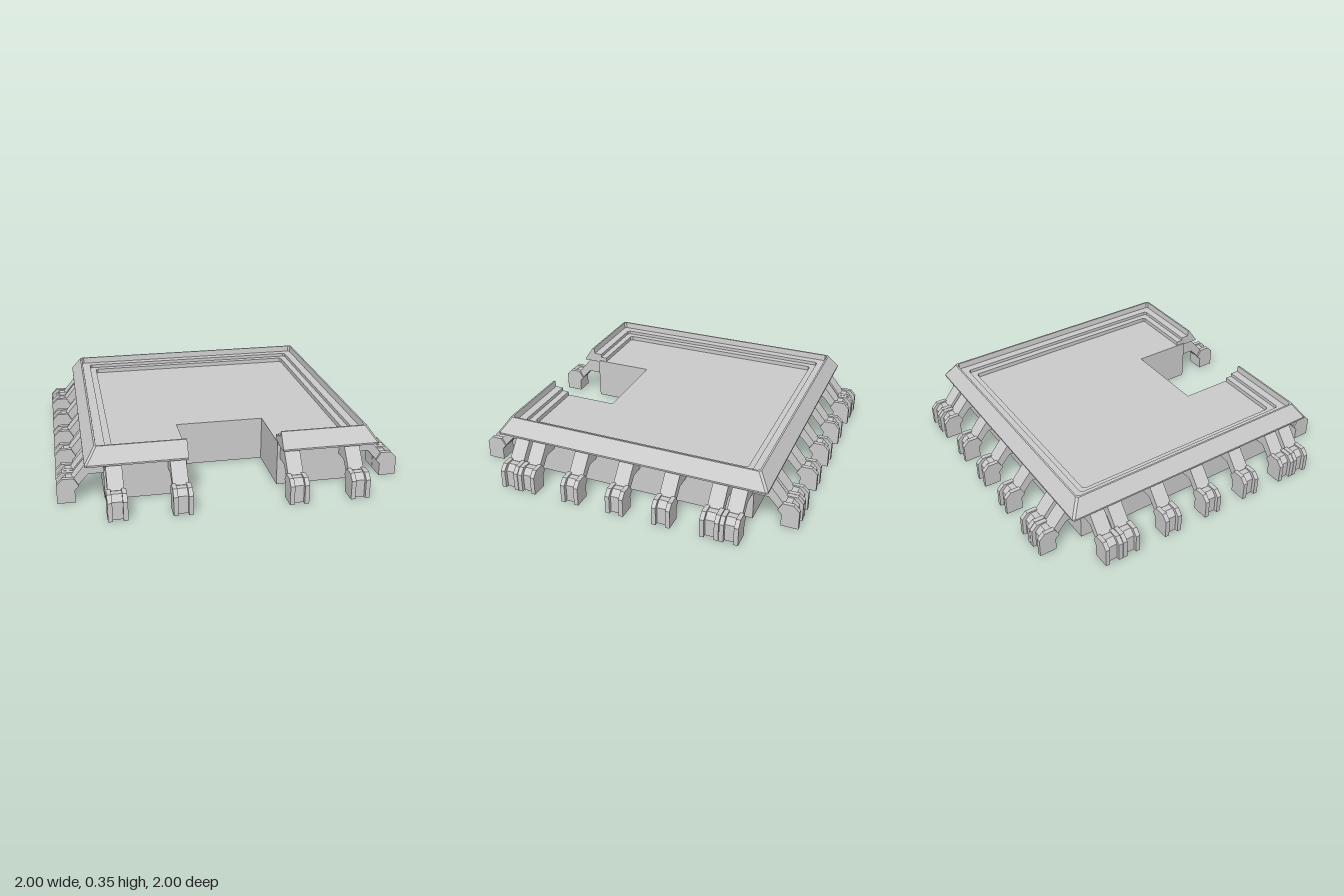
import * as THREE from 'three';

const material = new THREE.MeshStandardMaterial({ color: 0xcccccc, flatShading: true });

const HALF = 0.735;      // outer wall half-width
const NOTCH_X = 0.265;   // half-width of the front bay
const NOTCH_Z = 0.365;   // rear edge of the front bay
const DECK_Y = 0.267;

function part(name, geometry) {
  const mesh = new THREE.Mesh(geometry, material);
  mesh.name = name;
  return mesh;
}

// U-shaped plan outline, pulled inwards by t; shape y becomes -z
function planOutline(t) {
  const h = HALF - t, nx = NOTCH_X + t, nz = NOTCH_Z - t;
  return [[nx, h], [h, h], [h, -h], [-h, -h], [-h, h], [-nx, h], [-nx, nz], [nx, nz]]
    .map(([x, z]) => new THREE.Vector2(x, -z));
}

function slab(shape, y, height) {
  const g = new THREE.ExtrudeGeometry(shape, { depth: height, bevelEnabled: false });
  return g.rotateX(-Math.PI / 2).translate(0, y, 0);
}

// Stepped rim: one closed profile swept round three sides and both front arms
function rimGeometry() {
  const profile = [
    [0.68, 0.256], [0.842, 0.256], [0.842, 0.266], [0.782, 0.353], [0.772, 0.353],
    [0.768, 0.315], [0.718, 0.315], [0.718, 0.294], [0.678, 0.294], [0.678, 0.262],
  ];
  const c = 0.012, end = 0.27; // corner chamfer, end of each arm
  const stations = [
    (r) => [end, r], (r) => [r - c, r], (r) => [r, r - c],
    (r) => [r, -r + c], (r) => [r - c, -r], (r) => [-r + c, -r], (r) => [-r, -r + c],
    (r) => [-r, r - c], (r) => [-r + c, r], (r) => [-end, r],
  ];
  const n = profile.length, positions = [], index = [];
  for (const at of stations) {
    for (const [r, y] of profile) {
      const [x, z] = at(r);
      positions.push(x, y, z);
    }
  }
  for (let i = 0; i < stations.length - 1; i++) {
    for (let j = 0; j < n; j++) {
      const k = (j + 1) % n;
      const a = i * n + j, b = (i + 1) * n + j, d = (i + 1) * n + k, e = i * n + k;
      index.push(a, b, d, a, d, e);
    }
  }
  // End caps facing the bay
  const last = (stations.length - 1) * n;
  const contour = profile.map(([r, y]) => new THREE.Vector2(r, y));
  for (const [a, b, d] of THREE.ShapeUtils.triangulateShape(contour, [])) {
    index.push(a, b, d, last + a, last + d, last + b);
  }
  const g = new THREE.BufferGeometry();
  g.setAttribute('position', new THREE.Float32BufferAttribute(positions, 3));
  g.setIndex(index);
  const flat = g.toNonIndexed();
  flat.computeVertexNormals();
  return flat;
}

// Side profile (outward, up) given thickness across the leg
function plate(points, width, offset = 0) {
  const shape = new THREE.Shape(points.map(([r, y]) => new THREE.Vector2(r, y)));
  const g = new THREE.ExtrudeGeometry(shape, { depth: width, bevelEnabled: false });
  return g.translate(0, 0, offset - width / 2);
}

const strutGeometry = plate(
  [[0.73, 0.165], [0.82, 0.165], [0.895, 0.082], [0.91, 0.14], [0.9, 0.148], [0.81, 0.256], [0.73, 0.256]], 0.09);
const coreGeometry = plate(
  [[0.898, 0], [0.978, 0], [0.978, 0.105], [0.945, 0.138], [0.88, 0.138], [0.87, 0.11], [0.898, 0.078]], 0.07);
const cheekPoints =
  [[0.898, 0], [1, 0], [1, 0.112], [0.966, 0.147], [0.902, 0.147], [0.875, 0.1], [0.898, 0.075]];
const cheekGeometries = [-1, 1].map((s) => plate(cheekPoints, 0.026, s * 0.042));

function leg() {
  const g = new THREE.Group();
  g.name = 'leg';
  g.add(part('legStrut', strutGeometry), part('footCore', coreGeometry));
  for (const cheek of cheekGeometries) g.add(part('footCheek', cheek));
  return g;
}

export function createModel() {
  const model = new THREE.Group();
  model.name = 'landingPlatform';

  // Thin skirt wall, open underneath
  const walls = new THREE.Shape(planOutline(0));
  walls.holes.push(new THREE.Path(planOutline(0.012)));
  model.add(part('skirtWall', slab(walls, 0, 0.26)));

  // Deck and raised rim
  model.add(part('deck', slab(new THREE.Shape(planOutline(0)), 0.255, DECK_Y - 0.255)));
  model.add(part('steppedRim', rimGeometry()));

  // Rows of legs: sides and back share a spacing, the front straddles the bay
  const full = [-0.683, -0.57, -0.285, 0, 0.285, 0.57, 0.683];
  const front = [-0.683, -0.327, 0.327, 0.683];
  const rows = [
    ['leftLegs', 0, full], ['backLegs', Math.PI / 2, full],
    ['rightLegs', Math.PI, full], ['frontLegs', -Math.PI / 2, front],
  ];
  for (const [name, angle, places] of rows) {
    const row = new THREE.Group();
    row.name = name;
    for (const p of places) {
      const l = leg();
      l.position.z = p;
      row.add(l);
    }
    row.rotation.y = angle;
    model.add(row);
  }
  return model;
}
